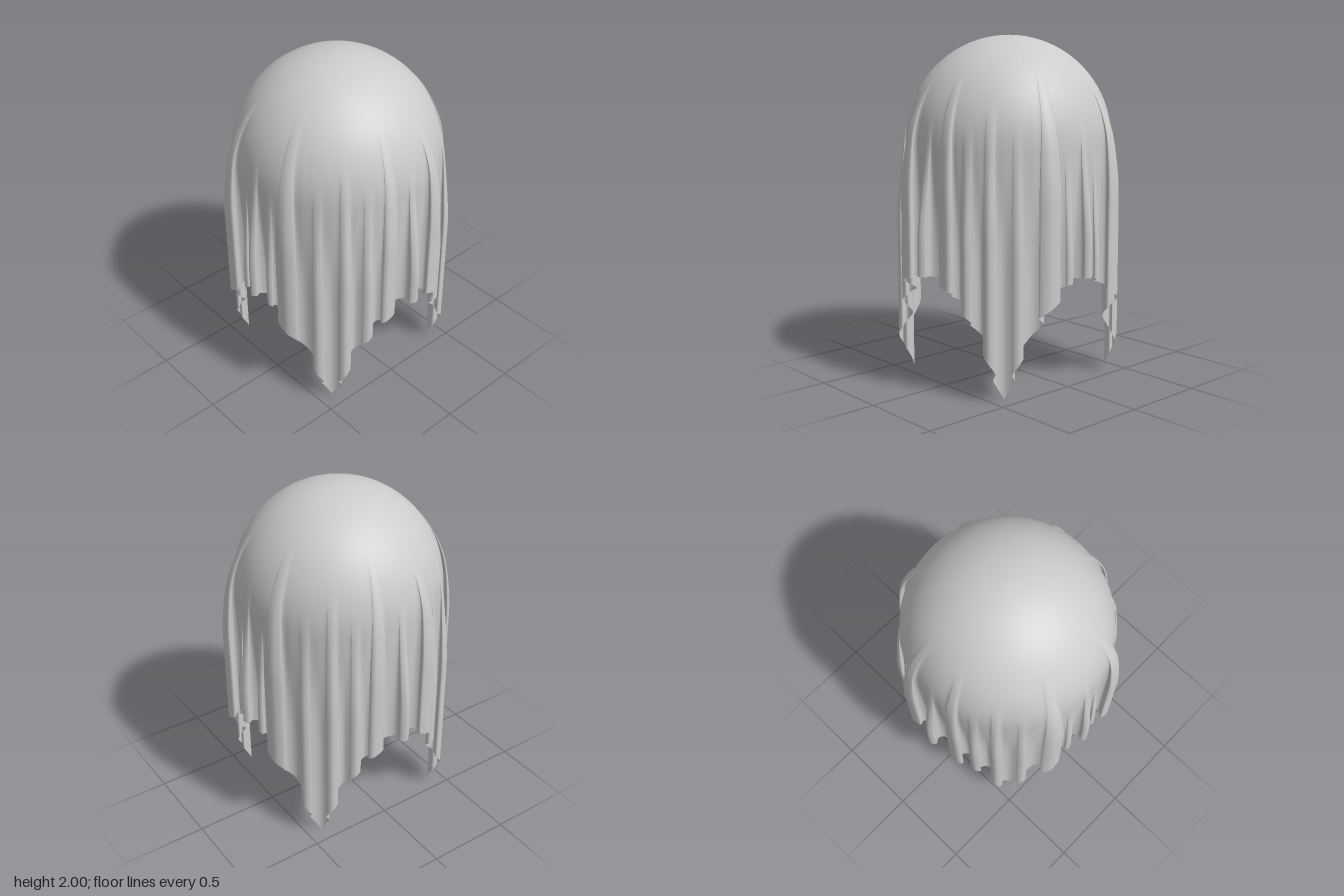
import * as THREE from 'three';

const { smoothstep, lerp, degToRad } = THREE.MathUtils;
const RADIUS = 0.6, CENTRE = 1.4;      // dome the cloth lies on
const PER_FOLD = 8, STEPS = 4;         // control points per fold, samples between them
const DOME_ROWS = 20, SKIRT_ROWS = 42;

// One quadrant of folds: angle from +z, depth, half width of the bulb, sideways hook, start height
const QUADRANT = [
  [0, 0.085, 0.03, 0, 1.56],
  [14, 0.078, 0.042, 0.035, 1.8],
  [26, 0.055, 0.03, 0, 1.55],
  [38, 0.068, 0.033, 0, 1.65],
  [52, 0.045, 0.03, 0, 1.55],
  [68, 0.085, 0.058, -0.012, 1.82],
  [80, 0.042, 0.021, 0, 1.45],
  [90, 0.072, 0.026, 0, 1.58],
];

// Mirror the quadrant all the way round
function allFolds() {
  const folds = [];
  for (const [deg, depth, head, hook, start] of QUADRANT) {
    const add = (a, h) => folds.push({ deg: a, depth, head, hook: h, start });
    add(deg, hook);
    add(180 + deg, hook);
    if (deg % 90) {
      add(180 - deg, -hook);
      add(360 - deg, -hook);
    }
  }
  return folds.sort((a, b) => a.deg - b.deg);
}

const FOLDS = allFolds();
const CONTROLS = FOLDS.length * PER_FOLD;
const COLUMNS = CONTROLS * STEPS;

// Control point k of the horizontal section at height y, as [x, z]
function control(k, y) {
  k = (k + CONTROLS) % CONTROLS;
  const i = Math.floor(k / PER_FOLD), m = k % PER_FOLD, f = FOLDS[i];
  const up = Math.max(0, y - CENTRE);
  const base = Math.sqrt(Math.max(0, RADIUS * RADIUS - up * up)) - 0.005 * (1 - smoothstep(y, 1, 1.4));
  let angle, out;
  if (m === 7) {
    // valley between two folds
    const next = i + 1 < FOLDS.length ? FOLDS[i + 1].deg : 360;
    angle = degToRad((f.deg + next) / 2);
    out = -0.015 * (1 - smoothstep(y, 0.7, 1.35));
  } else {
    // pinched neck opening into a round bulb
    const grow = 1 - smoothstep(y, f.start - 0.75, f.start);
    const neck = 0.4 * f.head + 0.003;
    const side = Math.sign(m - 3), step = Math.abs(m - 3);
    const rise = [1, 0.72, 0.35, 0][step];
    const across = side * [0, f.head, neck, neck + 0.015][step] + f.hook * rise * rise;
    const flat = (m - 3) / 3 * 0.04;
    angle = degToRad(f.deg) + lerp(flat, across, Math.sqrt(grow)) / RADIUS;
    out = f.depth * rise * grow;
  }
  const r = base + out;
  return [r * Math.sin(angle), r * Math.cos(angle)];
}

// Smooth closed section through the control points
function section(column, y) {
  const k = Math.floor(column / STEPS), t = (column % STEPS) / STEPS;
  const [a, b, c, d] = [-1, 0, 1, 2].map((o) => control(k + o, y));
  return [0, 1].map((n) => b[n] + 0.5 * t * (c[n] - a[n]
    + t * (2 * a[n] - 5 * b[n] + 4 * c[n] - d[n]
    + t * (3 * (b[n] - c[n]) + d[n] - a[n]))));
}

// Hem height per column: a square cloth, lowest at its four corners
function hemHeights() {
  const length = [0];
  for (let j = 1; j <= COLUMNS * 2; j++) {
    const p = section((j - 1) % COLUMNS, 0.7), q = section(j % COLUMNS, 0.7);
    length.push(length[j - 1] + Math.hypot(q[0] - p[0], q[1] - p[1]));
  }
  const quarter = FOLDS.length / 4 * PER_FOLD * STEPS;
  const hem = [];
  for (let q = 0; q < 4; q++) {
    const middle = q * quarter + 3 * STEPS;
    const corner = middle + (3 * PER_FOLD + 4) * STEPS;
    const end = middle + quarter;
    for (let j = middle; j < end; j++) {
      const part = j < corner
        ? (length[j] - length[middle]) / (length[corner] - length[middle])
        : (length[end] - length[j]) / (length[end] - length[corner]);
      hem[j % COLUMNS] = 0.665 - 1.605 * (1 / Math.cos(part * Math.PI / 4) - 1);
    }
  }
  return hem;
}

function clothGeometry() {
  const hem = hemHeights(), positions = [], index = [];
  const rows = DOME_ROWS + SKIRT_ROWS;
  for (let r = 0; r <= rows; r++) {
    for (let j = 0; j < COLUMNS; j++) {
      const y = r <= DOME_ROWS
        ? CENTRE + RADIUS * Math.cos(r / DOME_ROWS * Math.PI / 2)
        : lerp(CENTRE, hem[j], (r - DOME_ROWS) / SKIRT_ROWS);
      const [x, z] = section(j, y);
      positions.push(x, y, z);
      if (r === rows) continue;
      const a = r * COLUMNS + j, b = r * COLUMNS + (j + 1) % COLUMNS;
      const c = a + COLUMNS, d = b + COLUMNS;
      if (r > 0) index.push(a, c, b);
      index.push(b, c, d);
    }
  }
  const geometry = new THREE.BufferGeometry();
  geometry.setAttribute('position', new THREE.Float32BufferAttribute(positions, 3));
  geometry.setIndex(index);
  geometry.computeVertexNormals();
  return geometry;
}

export function createModel() {
  const group = new THREE.Group();
  group.name = 'drapedSheet';
  const material = new THREE.MeshStandardMaterial({ color: 0xcccccc, side: THREE.DoubleSide });
  const cloth = new THREE.Mesh(clothGeometry(), material);
  cloth.name = 'cloth';
  group.add(cloth);
  return group;
}
